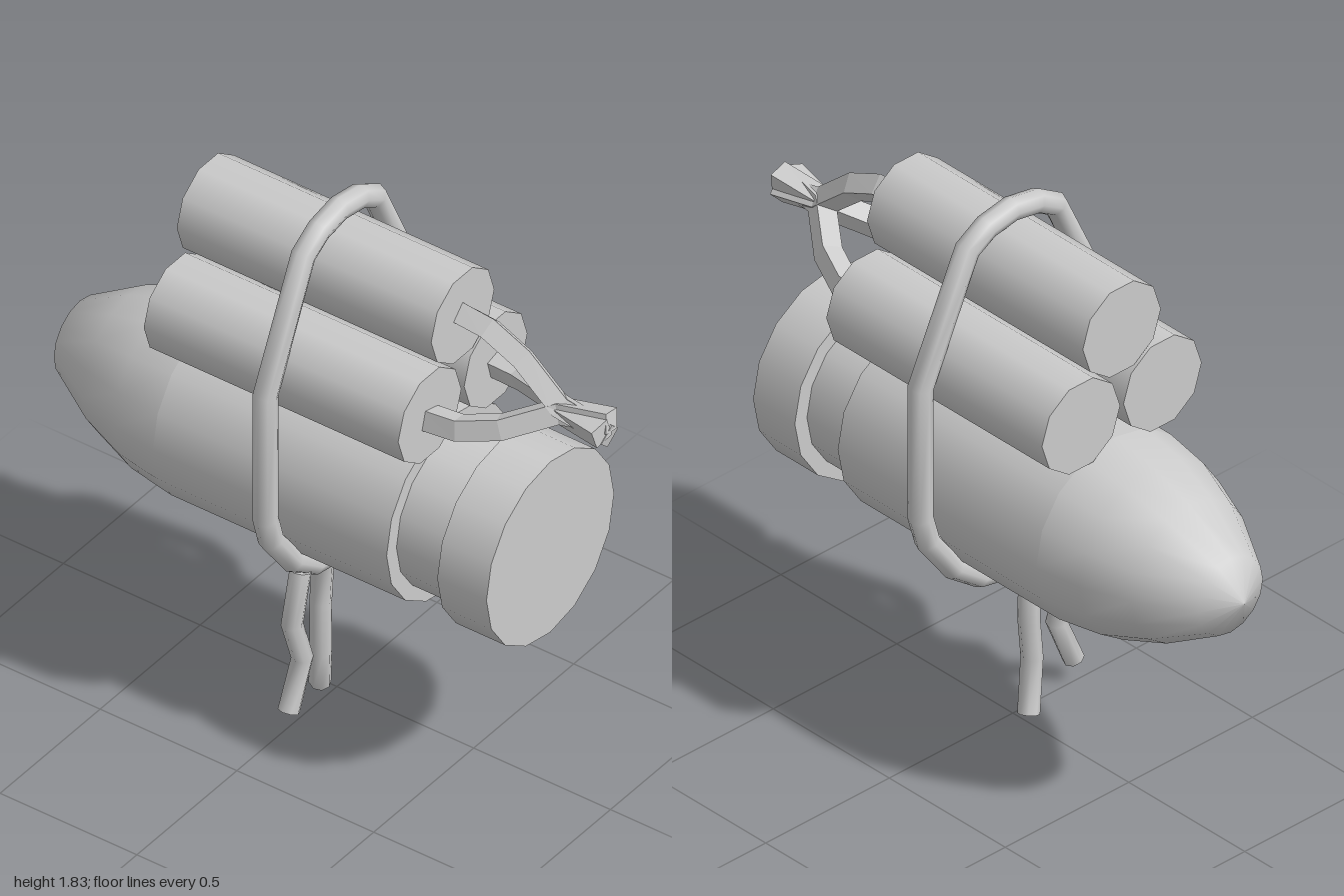
import * as THREE from 'three';

const smooth = new THREE.MeshStandardMaterial({ color: 0xcccccc, side: THREE.DoubleSide });
const faceted = new THREE.MeshStandardMaterial({ color: 0xcccccc, side: THREE.DoubleSide, flatShading: true });

// Curve through corner points, with mitred joints when swept by a tube
class Polyline extends THREE.Curve {
  constructor(points, closed = false) {
    super();
    this.points = points;
    this.closed = closed;
    this.spans = closed ? points.length : points.length - 1;
  }
  corner(i) {
    const n = this.points.length;
    return this.points[this.closed ? (i + n) % n : Math.min(Math.max(i, 0), n - 1)];
  }
  getPointAt(u, target = new THREE.Vector3()) {
    const i = Math.floor(u * this.spans + 1e-6);
    return target.lerpVectors(this.corner(i), this.corner(i + 1), Math.max(0, u * this.spans - i));
  }
  getTangentAt(u, target = new THREE.Vector3()) {
    const i = Math.round(u * this.spans);
    const a = this.corner(i).clone().sub(this.corner(i - 1)).normalize();
    const b = this.corner(i + 1).clone().sub(this.corner(i)).normalize();
    return target.copy(a.add(b)).normalize();
  }
}

function named(name, geometry, material = smooth) {
  const mesh = new THREE.Mesh(geometry, material);
  mesh.name = name;
  return mesh;
}

// Tube along corner points; open tubes get flat end caps
function cord(name, coords, radius, sides, closed = false, material = smooth) {
  const group = new THREE.Group();
  group.name = name;
  const path = new Polyline(coords.map(c => new THREE.Vector3(...c)), closed);
  const tube = new THREE.TubeGeometry(path, path.spans, radius, sides, closed);
  group.add(named(name + 'Tube', tube, material));
  if (closed) return group;
  const pos = tube.attributes.position;
  for (const ring of [0, path.spans]) {
    const corners = [], index = [];
    for (let j = 0; j < sides; j++) {
      const k = ring * (sides + 1) + j;
      corners.push(new THREE.Vector3(pos.getX(k), pos.getY(k), pos.getZ(k)));
      if (j > 1) index.push(...(ring ? [0, j - 1, j] : [0, j, j - 1]));
    }
    const cap = new THREE.BufferGeometry().setFromPoints(corners);
    cap.setIndex(index);
    cap.computeVertexNormals();
    group.add(named(name + 'Cap', cap, faceted));
  }
  return group;
}

export function createModel() {
  const model = new THREE.Group();

  // Shell: each profile is [x, radius], split wherever an edge is sharp
  const shell = new THREE.Group();
  shell.name = 'shell';
  shell.position.y = 0.887;
  const profiles = {
    nose: [[-1, 0], [-0.94, 0.13], [-0.76, 0.235], [-0.6, 0.295], [-0.44, 0.319]],
    body: [[-0.44, 0.319], [0.415, 0.319]],
    bodyEnd: [[0.415, 0.319], [0.415, 0.27]],
    neck: [[0.415, 0.27], [0.6, 0.27]],
    rimFront: [[0.6, 0.27], [0.6, 0.319]],
    rim: [[0.6, 0.319], [0.78, 0.319]],
    base: [[0.78, 0.319], [0.78, 0]],
  };
  for (const [name, profile] of Object.entries(profiles)) {
    const lathe = new THREE.LatheGeometry(profile.map(([x, r]) => new THREE.Vector2(r, x)), 16);
    shell.add(named(name, lathe.rotateZ(-Math.PI / 2)));
  }
  model.add(shell);

  // Bundle of three sticks
  for (const [y, z] of [[1.605, 0], [1.336, 0.165], [1.336, -0.165]]) {
    const stick = named('stick', new THREE.CylinderGeometry(0.158, 0.158, 0.93, 10).rotateZ(-Math.PI / 2));
    stick.position.set(-0.005, y, z);
    model.add(stick);
  }

  // Three fuses that bend inward, cross and flare at the tip
  for (let i = 0; i < 3; i++) {
    const fuse = cord('fuse', [
      [0.45, 0.19, 0], [0.56, 0.18, 0], [0.68, 0.125, 0],
      [0.82, 0.005, 0], [0.99, -0.028, -0.01],
    ], 0.046, 4, false, faceted);
    fuse.position.y = 1.42;
    fuse.rotation.x = i * Math.PI * 2 / 3;
    model.add(fuse);
  }

  // Rope loop: one half as [z, y], mirrored
  const half = [[0.1, 1.782], [0.178, 1.735], [0.367, 1.33], [0.367, 0.87],
    [0.34, 0.775], [0.235, 0.633], [0.13, 0.555]];
  const loop = [[0, 1.8], ...half, [0, 0.53], ...half.slice().reverse().map(([z, y]) => [-z, y])];
  model.add(cord('ropeLoop', loop.map(([z, y]) => [0.007, y, z]), 0.039, 8, true));

  // Loose rope ends
  model.add(cord('ropeEnd', [[0.01, 0.57, 0.195], [0.01, 0.395, 0.238], [0.01, 0.24, 0.187], [0.01, 0.08, 0.255]], 0.034, 8));
  model.add(cord('ropeEnd', [[0, 0.54, 0.068], [-0.035, 0.335, 0.033], [-0.008, 0.18, 0.07], [-0.047, 0.018, 0.02]], 0.034, 8));

  return model;
}
